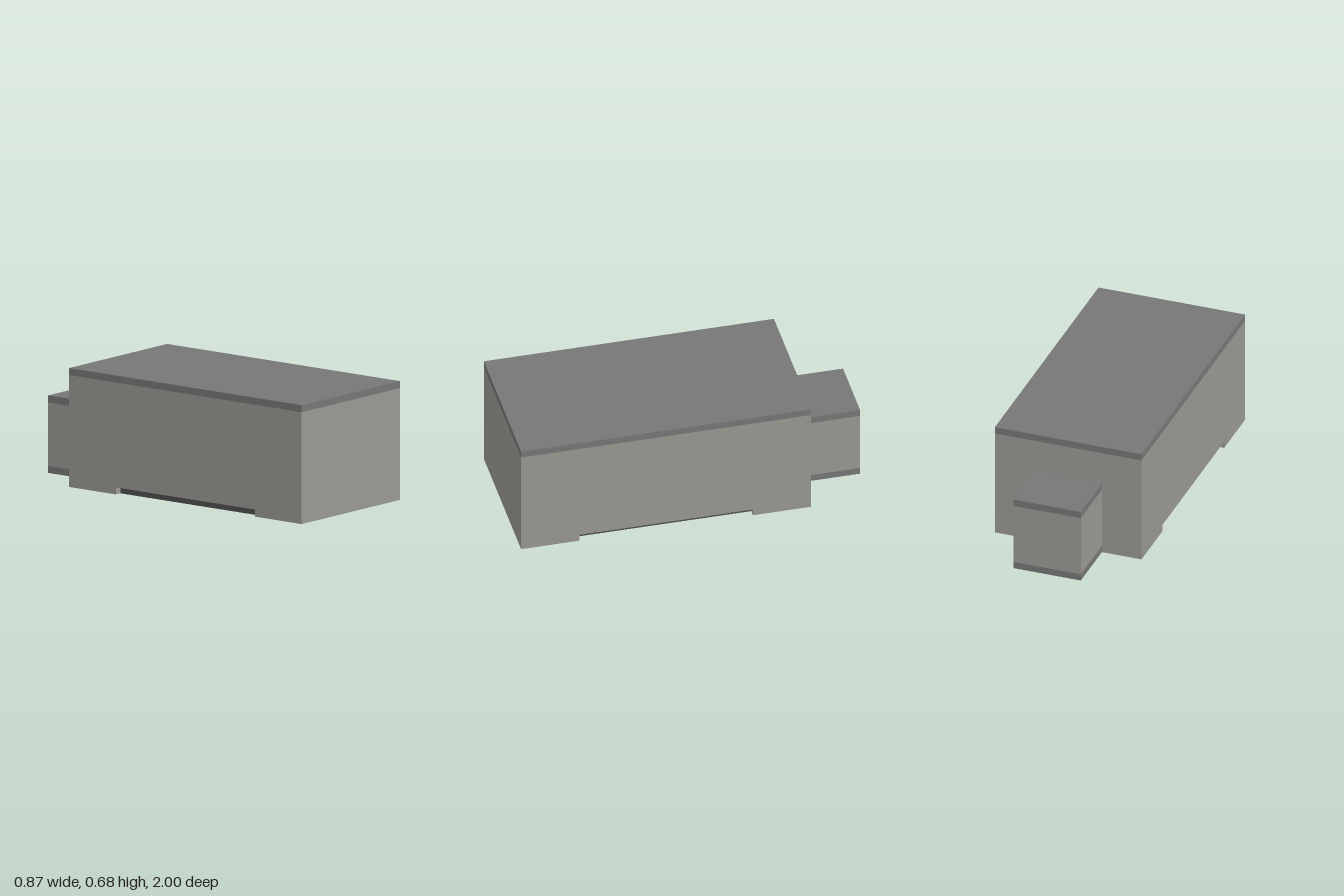
import * as THREE from 'three';

const HALF = 0.435;                    // half width of the main body
const FRONT = 1, BACK = -0.662;        // main body along z
const BAND = 0.04;                     // thickness of trims and of the base recess
const RECESS_FRONT = 0.665, RECESS_BACK = -0.328;

const wall = new THREE.MeshStandardMaterial({ color: 0x9a9892 });
const trim = new THREE.MeshStandardMaterial({ color: 0x777777 });
const dark = new THREE.MeshStandardMaterial({ color: 0x505050 });

// Box given by its limits on each axis
function box(name, material, [x0, x1], [y0, y1], [z0, z1]) {
  const mesh = new THREE.Mesh(new THREE.BoxGeometry(x1 - x0, y1 - y0, z1 - z0), material);
  mesh.position.set((x0 + x1) / 2, (y0 + y1) / 2, (z0 + z1) / 2);
  mesh.name = name;
  return mesh;
}

export function createModel() {
  const model = new THREE.Group();
  model.name = 'building';
  const top = 0.675;

  // Main walls: side profile (z, y) with a shallow recess underneath
  const profile = new THREE.Shape([
    [BACK, 0], [RECESS_BACK, 0], [RECESS_BACK, BAND], [RECESS_FRONT, BAND], [RECESS_FRONT, 0],
    [FRONT, 0], [FRONT, top - BAND], [BACK, top - BAND],
  ].map(([z, y]) => new THREE.Vector2(z, y)));
  const geometry = new THREE.ExtrudeGeometry(profile, { depth: 2 * HALF, bevelEnabled: false });
  geometry.translate(0, 0, -HALF).rotateY(-Math.PI / 2);
  const body = new THREE.Mesh(geometry, wall);
  body.name = 'mainBody';
  model.add(body);

  // Roof slab and the dark plate set into the recess
  model.add(box('roof', trim, [-HALF, HALF], [top - BAND, top], [BACK, FRONT]));
  const plate = HALF - BAND;
  model.add(box('basePlate', dark, [-plate, plate], [0, BAND], [RECESS_BACK, RECESS_FRONT]));

  // Rear annex: walls between a bottom and a top slab
  const annex = new THREE.Group();
  annex.name = 'rearAnnex';
  const x = [-0.2, 0.2], z = [-1, BACK], height = 0.44;
  annex.add(box('annexFloor', trim, x, [0, BAND], z));
  annex.add(box('annexWalls', wall, x, [BAND, height - BAND], z));
  annex.add(box('annexRoof', trim, x, [height - BAND, height], z));
  model.add(annex);

  return model;
}
